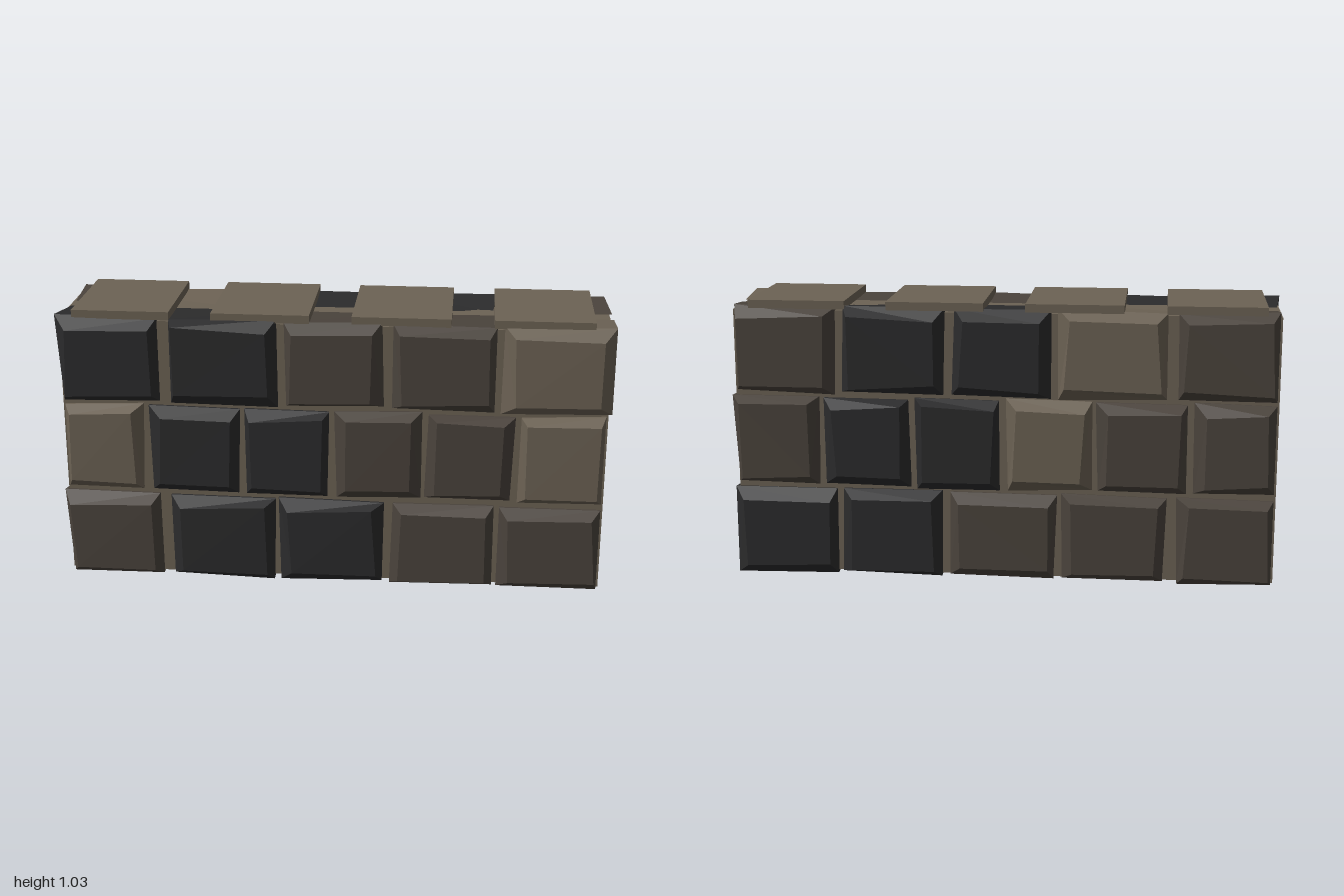
import * as THREE from 'three';

const mat = (name, color) => {
  const m = new THREE.MeshStandardMaterial({ color });
  m.name = name;
  return m;
};

export function createModel() {
  const wall = new THREE.Group();
  wall.name = 'stoneWall';
  const paint = {
    L: mat('tanStone', 0x6c6254),
    M: mat('brownStone', 0x4a433c),
    D: mat('charcoalStone', 0x2b2b2c),
  };

  // repeatable irregularity for the hand-cut stones
  let seed = 11;
  const jitter = (a) => {
    seed = (seed * 16807) % 2147483647;
    return (seed / 2147483647 * 2 - 1) * a;
  };

  const add = (parent, name, geo, material) => {
    const mesh = new THREE.Mesh(geo, material);
    mesh.name = name;
    parent.add(mesh);
    return mesh;
  };

  // mortar core
  add(wall, 'mortarCore', new THREE.BoxGeometry(1.964, 0.976, 0.38), paint.L)
    .position.y = 0.504;

  // A stone: three four-cornered rings (inner, rim, chamfered face).
  // end: outward reach of the end face's inner-top, outer-top,
  // outer-bottom and inner-bottom corners, and which way the quad is split.
  function stoneGeometry(x0, x1, y0, y1, face, end) {
    const corners = [[-1, -1], [1, -1], [1, 1], [-1, 1]];
    const cx = (x0 + x1) / 2, cy = (y0 + y1) / 2;
    const hx = (x1 - x0) / 2, hy = (y1 - y0) / 2;
    const endSide = Math.sign(cx);
    const rings = [[0.03, 0.012, 0.006], [0.2, 0, 0.008], [0.243, 0.032, 0.012]].map(
      ([z, inset, wobble], r) => corners.map(([sx, sy]) => {
        let x = cx + sx * (hx - inset) + jitter(wobble);
        const y = cy + sy * (hy - inset) + jitter(wobble);
        if (end && sx === endSide && r < 2) {
          const k = r === 0 ? (sy > 0 ? 0 : 3) : (sy > 0 ? 1 : 2);
          x = endSide * end.reach[k];
        }
        return [
          THREE.MathUtils.clamp(x, -1, 1),
          THREE.MathUtils.clamp(y, 0, 1.012),
          face * (z + (r === 2 ? jitter(0.003) : 0)),
        ];
      }));

    const pos = [];
    const tri = (a, b, c) => pos.push(...a, ...(face > 0 ? b : c), ...(face > 0 ? c : b));
    const quad = (a, b, c, d, flip) => {
      if (flip) { tri(a, b, d); tri(b, c, d); } else { tri(a, b, c); tri(a, c, d); }
    };
    for (let r = 0; r < 2; r++) {
      for (let i = 0; i < 4; i++) {
        const j = (i + 1) % 4;
        const onEnd = end && r === 0 && i === (endSide > 0 ? 1 : 3);
        const flip = onEnd && (end.split === 'AC') === (endSide > 0);
        quad(rings[r][i], rings[r][j], rings[r + 1][j], rings[r + 1][i], flip);
      }
    }
    quad(...rings[2], false);
    const geo = new THREE.BufferGeometry();
    geo.setAttribute('position', new THREE.Float32BufferAttribute(pos, 3));
    geo.computeVertexNormals();
    return geo;
  }

  // end-face patterns: P stands proud of the core, S lies just below it
  const P = 0.994, S = 0.974;
  const sunk = { reach: [S, S, S, S], split: 'AC' };
  const proud = { reach: [P, P, P, P], split: 'AC' };
  const innerTop = { reach: [0.992, S, S, S], split: 'BD' };
  const innerLow = { reach: [S, S, S, 0.99], split: 'AC' };
  const noInnerLow = { reach: [P, P, P, S], split: 'AC' };
  const twoCorners = { reach: [0.98, P, 0.976, P], split: 'AC' };
  const topEdge = { reach: [S, P, S, S], split: 'AC' };

  // courses from the top down: joints, then colours from -x to +x
  const courses = [
    { name: 'top', y: [0.692, 1.006],
      x: [[-0.99, -0.62], [-0.59, -0.2], [-0.17, 0.18], [0.21, 0.58], [0.61, 0.99]],
      front: 'DDMML', back: 'MLDDM',
      ends: { front: [topEdge, proud], back: [sunk, innerTop] } },
    { name: 'middle', y: [0.347, 0.678],
      x: [[-0.985, -0.69], [-0.66, -0.34], [-0.32, -0.01], [0.01, 0.32], [0.34, 0.65], [0.67, 0.99]],
      front: 'LDDMML', back: 'MMLDDM',
      ends: { front: [sunk, innerLow], back: [innerLow, twoCorners] } },
    { name: 'bottom', y: [0.008, 0.33],
      x: [[-0.99, -0.63], [-0.59, -0.21], [-0.19, 0.19], [0.22, 0.59], [0.61, 0.985]],
      front: 'MDDMM', back: 'MMMDD',
      ends: { front: [topEdge, sunk], back: [sunk, noInnerLow] } },
  ];

  for (const course of courses) {
    for (const side of ['front', 'back']) {
      const group = new THREE.Group();
      group.name = `${course.name}Course_${side}`;
      wall.add(group);
      const last = course.x.length - 1;
      course.x.forEach(([x0, x1], i) => {
        const [left, right] = course.ends[side];
        const end = i === 0 ? left : i === last ? right : null;
        const geo = stoneGeometry(x0, x1, ...course.y, side === 'front' ? 1 : -1, end);
        add(group, `stone${i + 1}`, geo, paint[course[side][i]]);
      });
    }
  }

  // capping slabs along the top
  for (let i = 0; i < 4; i++) {
    const slab = add(wall, `capSlab${i + 1}`, new THREE.BoxGeometry(0.35, 0.03, 0.42), paint.L);
    slab.position.set(-0.755 + i * 0.5, 1.015, -0.004);
  }
  return wall;
}
